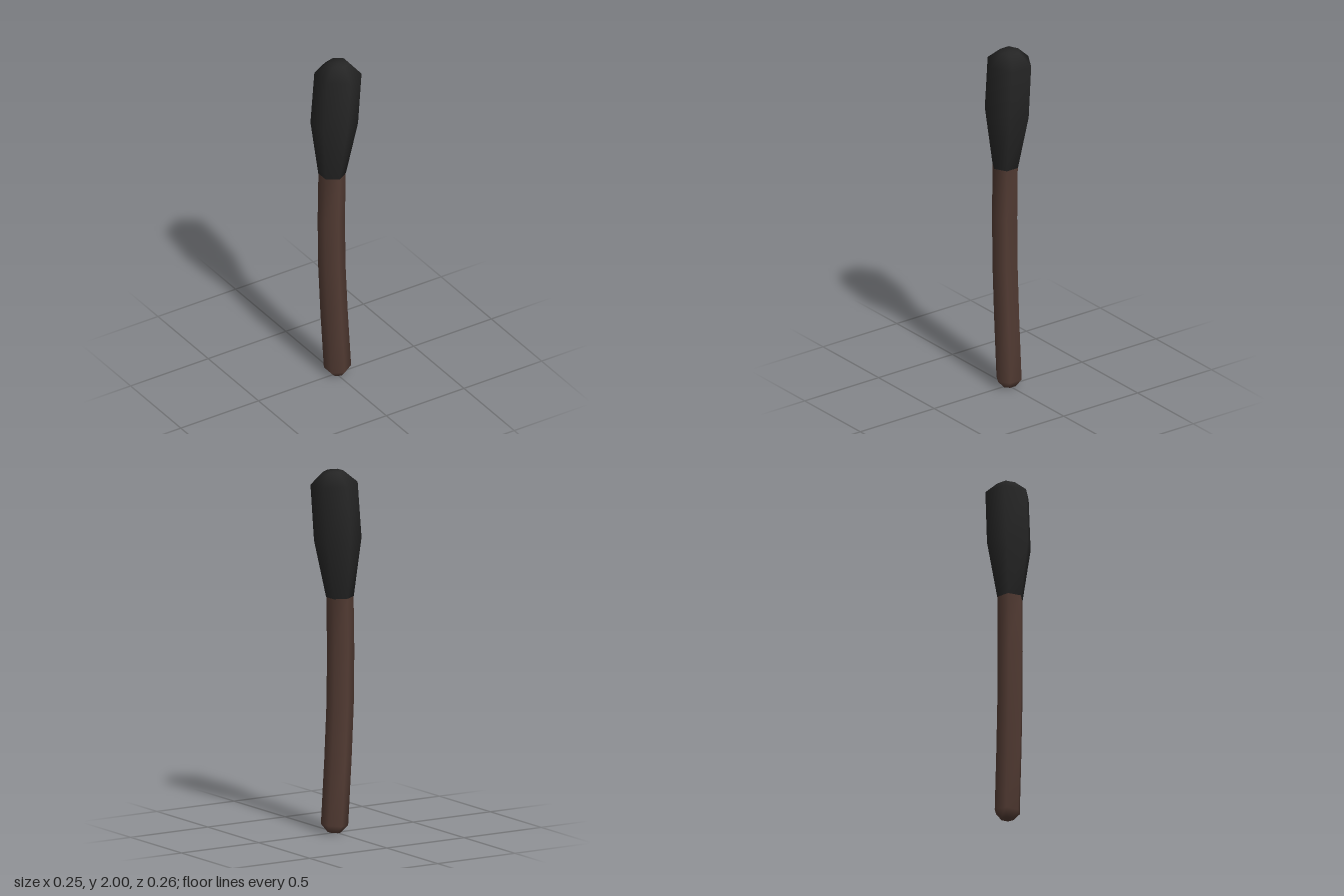
import * as THREE from 'three';

const SIDES = 6;

// Skins hexagonal rings [x, y, radius, tilt] listed from bottom to top.
function skinRings(rings, capBottom, capTop) {
  const pos = [], index = [];
  for (const [x, y, r, tilt] of rings) {
    for (let k = 0; k < SIDES; k++) {
      const a = (k + 0.5) * Math.PI * 2 / SIDES;
      const u = r * Math.cos(a);
      pos.push(x + u * Math.cos(tilt), y + u * Math.sin(tilt), r * Math.sin(a));
    }
  }
  for (let i = 0; i < rings.length - 1; i++) {
    for (let k = 0; k < SIDES; k++) {
      const a = i * SIDES + k, b = i * SIDES + (k + 1) % SIDES;
      index.push(a, a + SIDES, b, b, a + SIDES, b + SIDES);
    }
  }
  // Closed ends fan out from a centre point
  const cap = (row, up) => {
    const c = pos.length / 3;
    pos.push(rings[row][0], rings[row][1], 0);
    for (let k = 0; k < SIDES; k++) {
      const a = row * SIDES + k, b = row * SIDES + (k + 1) % SIDES;
      index.push(c, up ? b : a, up ? a : b);
    }
  };
  if (capBottom) cap(0, false);
  if (capTop) cap(rings.length - 1, true);
  const geo = new THREE.BufferGeometry();
  geo.setAttribute('position', new THREE.Float32BufferAttribute(pos, 3));
  geo.setIndex(index);
  geo.computeVertexNormals();
  return geo;
}

export function createModel() {
  const wood = new THREE.MeshStandardMaterial({ color: 0x523b33 });
  wood.name = 'brown wood';
  const black = new THREE.MeshStandardMaterial({ color: 0x252525 });
  black.name = 'charcoal black';

  const group = new THREE.Group();
  group.name = 'stick with dark head';

  // Gently bowed stick with a chamfered foot
  const stick = new THREE.Mesh(skinRings([
    [0.011, 0.003, 0.036, 0.08],
    [0.009, 0.045, 0.074, 0.08],
    [-0.013, 0.4, 0.074, 0.055],
    [-0.027, 0.7, 0.074, 0.03],
    [-0.031, 1.0, 0.074, 0],
    [-0.026, 1.3, 0.074, -0.03],
  ], true, false), wood);
  stick.name = 'stick';

  // Swollen head, leaning slightly to the left
  const head = new THREE.Mesh(skinRings([
    [-0.026, 1.3, 0.075, -0.03],
    [-0.012, 1.62, 0.129, -0.06],
    [0.012, 1.93, 0.128, -0.06],
    [0.017, 1.997, 0.056, -0.06],
  ], true, true), black);
  head.name = 'head';

  group.add(stick, head);
  return group;
}
